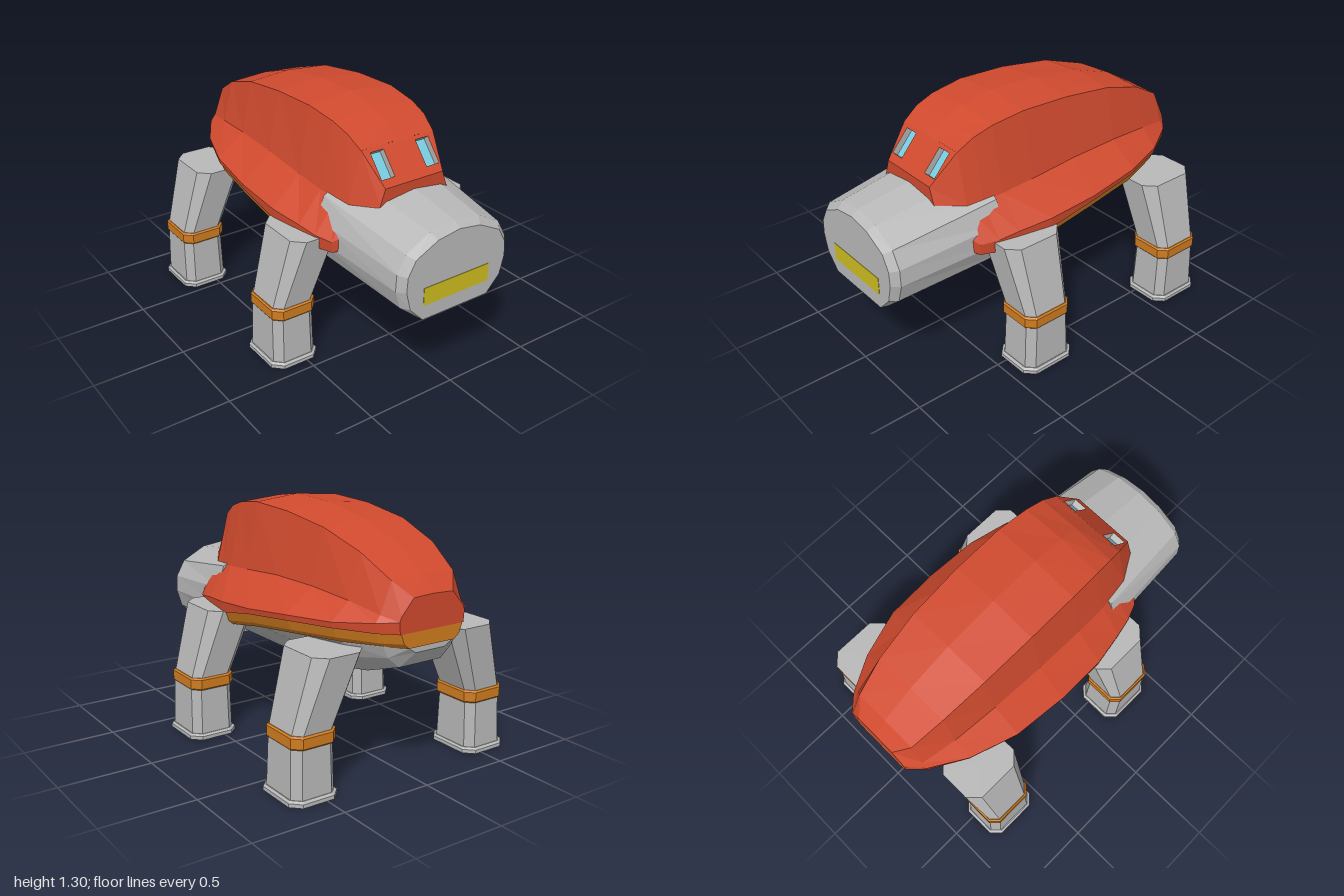
import * as THREE from 'three';

const mat = (name, color) => {
  const m = new THREE.MeshStandardMaterial({ color });
  m.name = name;
  return m;
};

// Faceted skin over a list of equal-sized rings, closed at both ends
function loft(rings, skip = () => false) {
  const pos = [];
  const tri = (...pts) => pts.forEach(p => pos.push(...p));
  const n = rings[0].length;
  for (let k = 0; k < rings.length - 1; k++) {
    for (let i = 0; i < n; i++) {
      if (skip(k, i, n)) continue;
      const j = (i + 1) % n;
      const a = rings[k][i], b = rings[k][j], c = rings[k + 1][i], d = rings[k + 1][j];
      tri(a, c, b);
      tri(b, c, d);
    }
  }
  const cap = (ring, front) => {
    const mid = [0, 1, 2].map(q => ring.reduce((s, p) => s + p[q], 0) / n);
    ring.forEach((p, i) => {
      const next = ring[(i + 1) % n];
      if (front) tri(mid, next, p); else tri(mid, p, next);
    });
  };
  cap(rings[0], false);
  cap(rings[rings.length - 1], true);
  const g = new THREE.BufferGeometry();
  g.setAttribute('position', new THREE.Float32BufferAttribute(pos, 3));
  g.computeVertexNormals();
  return g;
}

// Full ring at depth z from a right-hand half profile, listed top to bottom
function mirrorRing(z, half) {
  const right = half.map(([x, y]) => [x, y, z]);
  const left = half.filter(p => p[0] > 0).reverse().map(([x, y]) => [-x, y, z]);
  return [...right, ...left];
}

// Horizontal rectangle with cut corners
function cutRect(y, x0, x1, h, c) {
  return [[x1 - c, -h], [x1, c - h], [x1, h - c], [x1 - c, h],
    [x0 + c, h], [x0, h - c], [x0, c - h], [x0 + c, -h]].map(([x, z]) => [x, y, z]);
}

export function createModel() {
  const red = mat('shell red', 0xd04a2e);
  const grey = mat('body grey', 0xb8b8b8);
  const orange = mat('trim orange', 0xd07c20);
  const cyan = mat('eye cyan', 0x78cce0);
  const yellow = mat('mouth yellow', 0xcebc20);
  const model = new THREE.Group();
  const add = (name, geo, material, parent = model) => {
    const m = new THREE.Mesh(geo, material);
    m.name = name;
    parent.add(m);
    return m;
  };

  // Shell stations: z, ridge y, shoulder x y, crease x y, rim x y, bottom y
  const stations = [
    [-1.00, 0.97, 0.12, 0.965, 0.19, 0.885, 0.20, 0.86, 0.80],
    [-0.92, 1.05, 0.19, 1.04, 0.25, 0.885, 0.28, 0.85, 0.80],
    [-0.73, 1.16, 0.225, 1.145, 0.29, 0.92, 0.39, 0.83, 0.80],
    [-0.47, 1.245, 0.25, 1.225, 0.315, 0.94, 0.475, 0.82, 0.79],
    [-0.16, 1.29, 0.26, 1.265, 0.33, 0.94, 0.50, 0.785, 0.755],
    [0.13, 1.30, 0.26, 1.275, 0.33, 0.915, 0.495, 0.76, 0.70],
    [0.32, 1.27, 0.25, 1.25, 0.325, 0.90, 0.46, 0.74, 0.665],
    [0.43, 1.225, 0.24, 1.215, 0.31, 0.89, 0.435, 0.72, 0.65],
    [0.52, 1.157, 0.225, 1.157, 0.295, 0.885, 0.40, 0.71, 0.65],
    [0.66, 0.995, 0.18, 0.995, 0.21, 0.91, 0.25, 0.82, 0.72],
  ];
  const shellRings = stations.map(([z, yt, xs, ys, xc, yc, xo, yo, yb]) =>
    mirrorRing(z, [[0, yt], [xs, ys], [xc, yc], [xo, yo], [xo - 0.005, yb]]));
  // The sloping face is left open for the panel with eye openings
  add('shell', loft(shellRings, (k, i, n) =>
    k === stations.length - 2 && (i === 0 || i === n - 1)), red);

  // Face panel with two recessed eyes
  const face = new THREE.Group();
  face.name = 'face';
  face.position.set(0, 0.995, 0.66);
  face.rotation.x = -0.712;
  model.add(face);
  const panel = new THREE.Shape([[-0.18, 0], [0.18, 0], [0.225, 0.214], [-0.225, 0.214]]
    .map(p => new THREE.Vector2(...p)));
  for (const s of [-1, 1]) {
    panel.holes.push(new THREE.Path([[0.1, 0.046], [0.18, 0.046], [0.18, 0.192], [0.1, 0.192]]
      .map(([x, y]) => new THREE.Vector2(s * x, y))));
    const eye = add(s > 0 ? 'leftEye' : 'rightEye', new THREE.BoxGeometry(0.08, 0.146, 0.008), cyan, face);
    eye.position.set(s * 0.14, 0.119, -0.04);
  }
  const panelGeo = new THREE.ExtrudeGeometry(panel, { depth: 0.04, bevelEnabled: false });
  panelGeo.translate(0, 0, -0.04);
  add('facePanel', panelGeo, [red, grey], face);

  // Orange trim below the shell rim
  add('rimTrim', loft(stations.slice(0, 7).map(([z, , , , , , xo, , yb]) =>
    mirrorRing(z, [[0, yb], [xo - 0.012, yb], [xo - 0.03, yb - 0.05], [xo - 0.06, yb - 0.075]]))), orange);

  // Underbody: z, top y, upper x y, lower x y, bottom x y
  const hull = [
    [-0.99, 0.79, 0.14, 0.75, 0.13, 0.72, 0.09, 0.695],
    [-0.92, 0.79, 0.23, 0.73, 0.20, 0.67, 0.13, 0.61],
    [-0.73, 0.79, 0.33, 0.72, 0.28, 0.64, 0.17, 0.55],
    [-0.47, 0.78, 0.40, 0.71, 0.34, 0.63, 0.20, 0.512],
    [-0.16, 0.74, 0.42, 0.68, 0.36, 0.63, 0.21, 0.50],
    [0.15, 0.70, 0.42, 0.67, 0.36, 0.62, 0.21, 0.50],
    [0.42, 0.68, 0.38, 0.65, 0.34, 0.60, 0.21, 0.50],
  ];
  add('underbody', loft(hull.map(([z, yt, x1, y1, x2, y2, x3, y3]) =>
    mirrorRing(z, [[0, yt], [x1 - 0.01, yt], [x1, y1], [x2, y2], [x3, y3]]))), grey);

  // Snout with a chamfered front edge
  const snout = [
    [0.37, [[0, 0.99], [0.19, 0.965], [0.34, 0.89], [0.385, 0.77], [0.385, 0.66], [0.345, 0.56], [0.21, 0.485]]],
    [0.96, [[0, 0.905], [0.15, 0.885], [0.29, 0.81], [0.34, 0.72], [0.345, 0.63], [0.315, 0.53], [0.21, 0.44]]],
    [1.00, [[0, 0.875], [0.13, 0.855], [0.26, 0.79], [0.305, 0.71], [0.31, 0.63], [0.285, 0.53], [0.205, 0.445]]],
  ];
  add('snout', loft(snout.map(([z, half]) => mirrorRing(z, half))), grey);
  add('mouth', new THREE.BoxGeometry(0.41, 0.097, 0.008), yellow).position.set(0, 0.572, 0.998);

  // Four legs, turned half a circle for the right side
  const parts = [
    ['foot', grey, [cutRect(0, 0.41, 0.688, 0.163, 0.05), cutRect(0.02, 0.41, 0.688, 0.163, 0.05),
      cutRect(0.03, 0.42, 0.677, 0.15, 0.045)]],
    ['lowerLeg', grey, [cutRect(0.02, 0.425, 0.672, 0.147, 0.04), cutRect(0.29, 0.427, 0.665, 0.137, 0.04)]],
    ['cuff', orange, [cutRect(0.277, 0.422, 0.664, 0.138, 0.04), cutRect(0.286, 0.414, 0.67, 0.147, 0.043),
      cutRect(0.337, 0.414, 0.67, 0.147, 0.043), cutRect(0.346, 0.422, 0.662, 0.138, 0.04)]],
    ['upperLeg', grey, [cutRect(0.34, 0.424, 0.66, 0.136, 0.04), cutRect(0.71, 0.27, 0.56, 0.176, 0.06)]],
  ].map(([name, material, rings]) => [name, loft(rings), material]);
  for (const [end, z] of [['front', 0.277], ['back', -0.70]]) {
    for (const side of ['Left', 'Right']) {
      const leg = new THREE.Group();
      leg.name = end + side + 'Leg';
      leg.position.z = z;
      if (side === 'Right') leg.rotation.y = Math.PI;
      parts.forEach(p => add(...p, leg));
      model.add(leg);
    }
  }
  return model;
}
